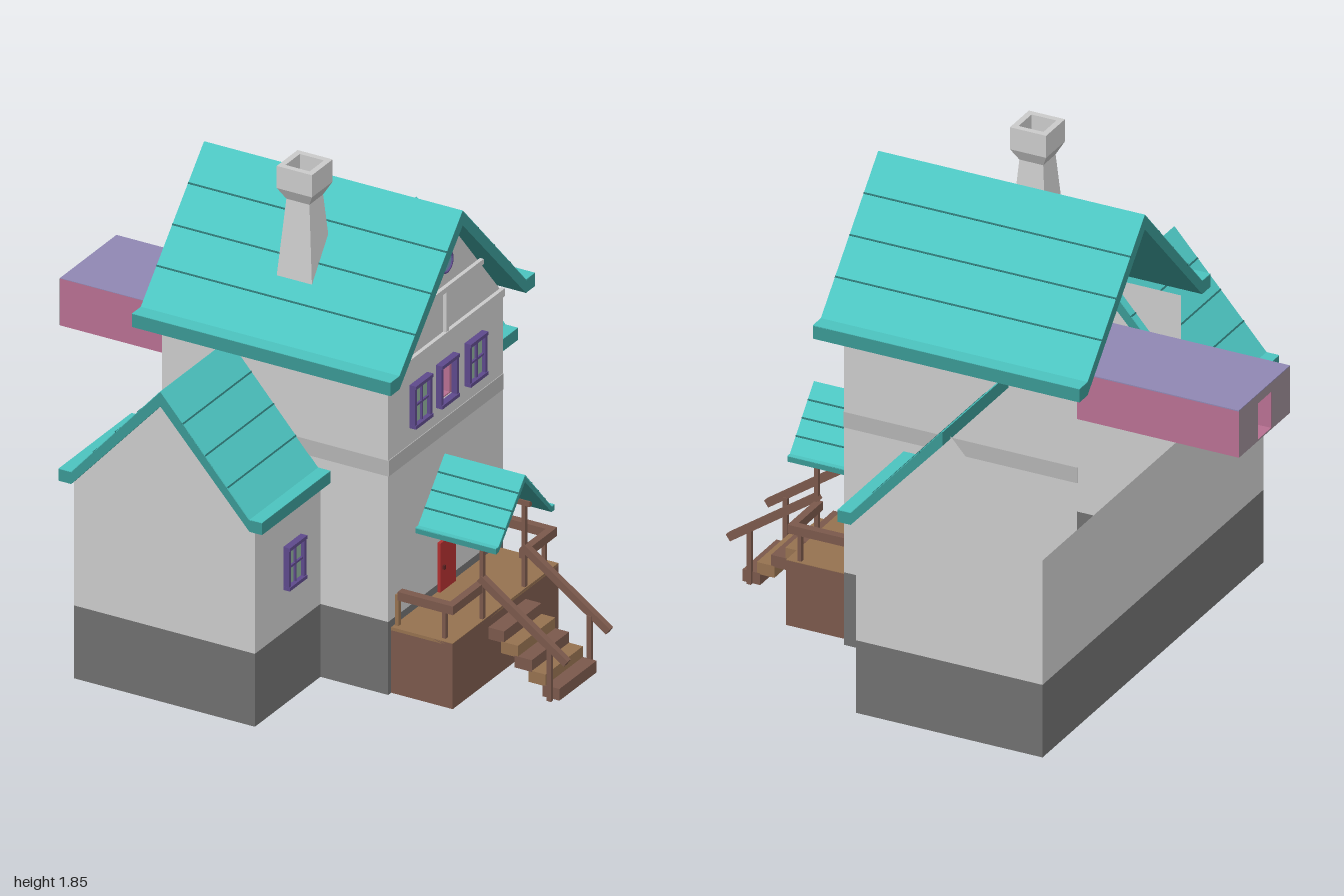
import * as THREE from 'three';

const GREY = 0xcccccc, DARK = 0x707070, BAND = 0xb4b4b4, TEAL = 0x4cc4c0, TEAL_DARK = 0x3a9894, SEAM = 0x2a706e;
const WOOD = 0x7b594c, TAN = 0x967250, PURPLE = 0x5e4a8c, PANE = 0x8fb09a;
const mats = {};
const mat = (c) => (mats[c] ??= new THREE.MeshStandardMaterial({ color: c, side: THREE.DoubleSide, flatShading: true }));

function mesh(parent, name, geo, color) {
  const m = new THREE.Mesh(geo, mat(color));
  m.name = name;
  parent.add(m);
  return m;
}

// Box given by its min and max on each axis
function block(parent, name, x0, x1, y0, y1, z0, z1, color) {
  const m = mesh(parent, name, new THREE.BoxGeometry(x1 - x0, y1 - y0, z1 - z0), color);
  m.position.set((x0 + x1) / 2, (y0 + y1) / 2, (z0 + z1) / 2);
  return m;
}

function polygon(pts, hole) {
  const s = new THREE.Shape(pts.map((p) => new THREE.Vector2(...p)));
  if (hole) s.holes.push(new THREE.Path(hole.map((p) => new THREE.Vector2(...p))));
  return s;
}
const rect = (u0, u1, y0, y1) => [[u0, y0], [u1, y0], [u1, y1], [u0, y1]];

// Flat panel facing along z, or along x with its outline given in (z, y)
function panel(parent, name, axis, at, pts, color, hole) {
  const m = mesh(parent, name, new THREE.ShapeGeometry(polygon(pts, hole)), color);
  if (axis === 'x') { m.rotation.y = -Math.PI / 2; m.position.x = at; } else m.position.z = at;
  return m;
}

// Wall with a dark foundation strip
function wall(parent, name, axis, at, u0, u1, top, peak, hole) {
  panel(parent, name + 'Base', axis, at, rect(u0, u1, 0, 0.28), DARK);
  const pts = rect(u0, u1, 0.28, top);
  if (peak) pts.splice(3, 0, peak);
  panel(parent, name, axis, at, pts, GREY, hole);
}

// Pitched roof running along local z, each side a bent slab with plank seams
function gableRoof(name, { half, run, peak, eave, lip, inner, length, seams, sides = [1, -1] }) {
  const g = new THREE.Group();
  g.name = name;
  const slope = Math.atan2(peak - eave, run), len = Math.hypot(run, peak - eave);
  for (const s of sides) {
    const pts = [[0, peak], [run, eave], [half, eave], [half, lip], [run, lip], [0, inner]].map(([x, y]) => [x * s, y]);
    const geo = new THREE.ExtrudeGeometry(polygon(pts), { depth: length, bevelEnabled: false });
    mesh(g, 'roofSlab', geo.translate(0, 0, -length / 2), TEAL_DARK);
    const cover = mesh(g, 'roofPlanks', new THREE.BoxGeometry(len, 0.004, length), TEAL);
    cover.position.set(s * run / 2, (peak + eave) / 2, 0);
    cover.rotation.z = -s * slope;
    const lipTop = mesh(g, 'eaveTop', new THREE.BoxGeometry(half - run, 0.004, length), TEAL);
    lipTop.position.set(s * (half + run) / 2, eave, 0);
    for (let i = 1; i <= seams; i++) {
      const t = i / (seams + 1);
      const seam = mesh(g, 'plankSeam', new THREE.BoxGeometry(0.006, 0.008, length), SEAM);
      seam.position.set(s * run * t, peak + (eave - peak) * t, 0);
      seam.rotation.z = -s * slope;
    }
  }
  return g;
}

// Framed window on a wall facing +x; an open one has no panes
function windowUnit(parent, x, y, z, open) {
  const g = new THREE.Group();
  g.name = 'window';
  const w = 0.052, h = 0.076, t = 0.013;
  for (const s of [-1, 1]) {
    block(g, 'jamb', -0.002, 0.02, -h, h, s * w - t / 2, s * w + t / 2, PURPLE);
    block(g, 'rail', -0.002, 0.024, s * h - t / 2, s * h + t / 2, -w - 0.007, w + 0.007, PURPLE);
  }
  if (!open) {
    block(g, 'pane', 0, 0.006, -h, h, -w, w, PANE);
    block(g, 'mullion', 0, 0.014, -h, h, -0.004, 0.004, PURPLE);
    block(g, 'transom', 0, 0.014, -0.004, 0.004, -w, w, PURPLE);
  }
  g.position.set(x, y, z);
  parent.add(g);
}

export function createModel() {
  const root = new THREE.Group();
  root.name = 'house';

  // Main block, open on its -x side
  const opening = rect(-0.03, 0.07, 0.975, 1.115);
  wall(root, 'entranceWall', 'x', 0.42, -0.37, 0.4, 1.21, [0.02, 1.67], opening);
  for (const z of [-0.37, 0.4]) {
    wall(root, 'mainSideWall', 'z', z, -0.48, 0.42, 1.21);
    block(root, 'wallBand', -0.48, 0.42, 0.84, 0.9, z - 0.002, z + 0.002, BAND);
  }
  block(root, 'wallBand', 0.418, 0.423, 0.84, 0.9, -0.37, 0.4, BAND);
  block(root, 'gableTrim', 0.42, 0.435, 1.205, 1.235, -0.36, 0.39, GREY);
  block(root, 'gableTrim', 0.42, 0.435, 1.39, 1.41, -0.22, 0.26, GREY);
  block(root, 'gableTrim', 0.42, 0.432, 1.235, 1.39, 0.01, 0.03, GREY);
  const roundFrame = mesh(root, 'roundWindowFrame', new THREE.TorusGeometry(0.039, 0.005, 6, 24), PURPLE);
  const roundPane = mesh(root, 'roundWindow', new THREE.CircleGeometry(0.039, 24), 0x6f9ab8);
  for (const m of [roundFrame, roundPane]) {
    m.rotation.y = Math.PI / 2;
    m.position.set(0.427, 1.5, 0.02);
  }
  const mainRoof = gableRoof('mainRoof', { half: 0.485, run: 0.425, peak: 1.71, eave: 1.26, lip: 1.21, inner: 1.655, length: 1.03, seams: 3 });
  mainRoof.rotation.y = Math.PI / 2;
  mainRoof.position.set(-0.025, 0, 0.017);
  root.add(mainRoof);

  // Wings front and back
  wall(root, 'wingLongWall', 'x', -0.57, -0.8, 0.84, 0.76);
  wall(root, 'wingInnerWall', 'x', 0.15, 0.4, 0.84, 0.76);
  wall(root, 'wingInnerWall', 'x', 0.15, -0.8, -0.37, 0.76);
  for (const z of [0.84, -0.8]) wall(root, 'wingGable', 'z', z, -0.57, 0.15, 0.76, [-0.21, 1.16]);
  const wing = { half: 0.405, run: 0.355, peak: 1.2, eave: 0.8, lip: 0.755, inner: 1.145, length: 0.49, seams: 3 };
  const frontRoof = gableRoof('frontWingRoof', wing);
  frontRoof.position.set(-0.215, 0, 0.615);
  const backRoof = gableRoof('backWingRoof', { ...wing, sides: [1] });
  backRoof.position.set(-0.215, 0, -0.615);
  root.add(frontRoof, backRoof);

  // Windows
  for (const z of [0.197, 0.02, -0.172]) windowUnit(root, 0.422, 1.045, z, z === 0.02);
  for (const z of [0.59, -0.58]) windowUnit(root, 0.152, 0.525, z);

  // Overhead passage with a tunnel through it
  const tunnel = mesh(root, 'passage', new THREE.ExtrudeGeometry(
    polygon(rect(-0.17, 0.21, 0.97, 1.15), opening), { depth: 1.41, bevelEnabled: false }), 0xb87092);
  tunnel.rotation.y = -Math.PI / 2;
  tunnel.position.x = 0.41;
  block(root, 'passageTop', -1, 0.4, 1.148, 1.152, -0.17, 0.21, 0x9088b4);
  panel(root, 'passageEnd', 'x', -1.001, rect(-0.17, 0.21, 0.97, 1.15), 0x9a8a94, opening);

  // Chimney, a four-sided hollow stack
  const r = Math.SQRT2;
  const stack = [[0.07, 1.43], [0.046, 1.72], [0.07, 1.765], [0.07, 1.85], [0.048, 1.85], [0.048, 1.74]]
    .map(([x, y]) => new THREE.Vector2(x * r, y));
  const chimney = mesh(root, 'chimney', new THREE.LatheGeometry(stack, 4, Math.PI / 4), GREY);
  chimney.position.set(-0.022, 0, 0.215);

  // Porch deck
  for (const z of [-0.33, 0.38]) panel(root, 'deckSide', 'z', z, rect(0.42, 0.665, 0, 0.25), WOOD);
  panel(root, 'deckFront', 'x', 0.665, rect(-0.33, 0.38, 0, 0.25), WOOD);
  block(root, 'deckTop', 0.42, 0.665, 0.24, 0.252, -0.33, 0.38, TAN);

  // Door
  block(root, 'door', 0.42, 0.432, 0.25, 0.44, -0.035, 0.07, 0xb03030);
  block(root, 'doorKnob', 0.432, 0.44, 0.335, 0.35, 0.045, 0.055, 0x5a2020);

  // Stairs, posts and railings, mirrored about the door line
  for (let i = 0; i < 5; i++) {
    const x = 0.66 + i * 0.055, y = 0.21 - i * 0.041;
    block(root, 'step', x, x + 0.068, Math.max(0, y - 0.045), y, -0.11, 0.14, i % 2 ? TAN : WOOD);
  }
  for (const s of [-1, 1]) {
    const at = (d0, d1) => [0.02 + s * d0, 0.02 + s * d1].sort((a, b) => a - b);
    block(root, 'roofPost', 0.647, 0.661, 0.25, 0.58, ...at(0.133, 0.15), WOOD);
    block(root, 'deckPost', 0.612, 0.626, 0.25, 0.36, ...at(0.325, 0.341), WOOD);
    block(root, 'deckPost', 0.425, 0.438, 0.25, 0.37, ...at(0.325, 0.341), TAN);
    block(root, 'sideRail', 0.44, 0.66, 0.355, 0.388, ...at(0.32, 0.35), WOOD);
    block(root, 'frontRail', 0.632, 0.66, 0.355, 0.388, ...at(0.14, 0.35), WOOD);
    block(root, 'stairPost', 0.91, 0.927, 0, 0.21, ...at(0.127, 0.142), WOOD);
    const dx = 0.345, dy = -0.24;
    const rail = mesh(root, 'stairRail', new THREE.BoxGeometry(Math.hypot(dx, dy), 0.028, 0.024), WOOD);
    rail.position.set(0.82, 0.287, 0.02 + s * 0.142);
    rail.rotation.z = Math.atan2(dy, dx);
  }

  // Porch roof
  const porchRoof = gableRoof('porchRoof', { half: 0.197, run: 0.178, peak: 0.76, eave: 0.562, lip: 0.542, inner: 0.735, length: 0.32, seams: 3 });
  porchRoof.rotation.y = Math.PI / 2;
  porchRoof.position.set(0.58, 0, 0.02);
  root.add(porchRoof);
  for (const z of [-0.12, 0.16]) block(root, 'porchBeam', 0.42, 0.68, 0.565, 0.585, z - 0.008, z + 0.008, WOOD);

  return root;
}
